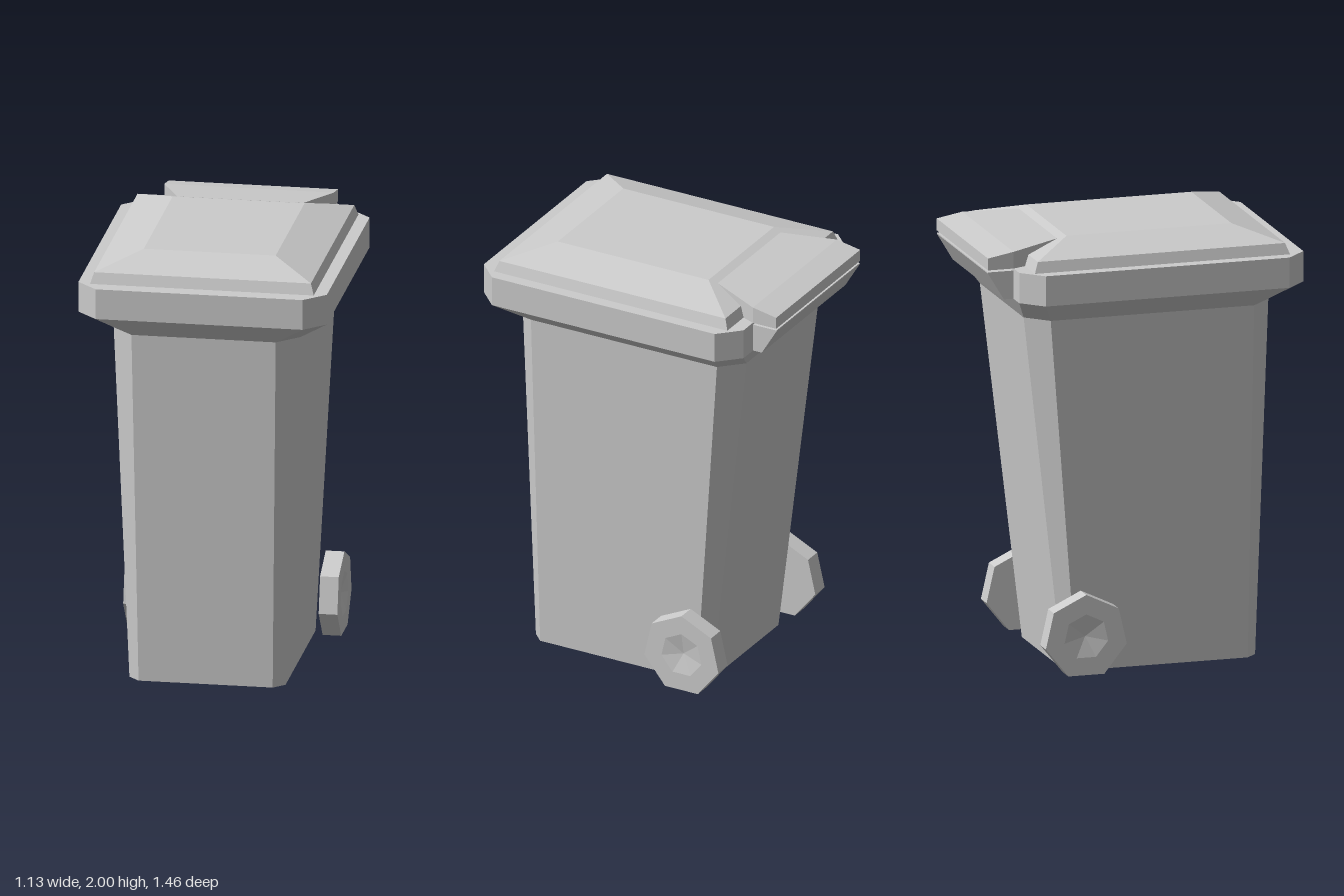
import * as THREE from 'three';

const material = new THREE.MeshStandardMaterial({ color: 0xcccccc, flatShading: true });

// Joins equal-length rings of [x, y, z] points into a capped solid (rings wind counter-clockwise about the loft direction)
function loft(name, rings) {
  const pos = [];
  const n = rings[0].length;
  const tri = (...pts) => pts.forEach((p) => pos.push(...p));
  for (let i = 0; i < rings.length - 1; i++) {
    const lo = rings[i], hi = rings[i + 1];
    for (let j = 0; j < n; j++) {
      const k = (j + 1) % n;
      tri(lo[j], lo[k], hi[k]);
      tri(lo[j], hi[k], hi[j]);
    }
  }
  const first = rings[0], last = rings[rings.length - 1];
  for (let j = 1; j < n - 1; j++) {
    tri(first[0], first[j + 1], first[j]);
    tri(last[0], last[j], last[j + 1]);
  }
  const geo = new THREE.BufferGeometry();
  geo.setAttribute('position', new THREE.Float32BufferAttribute(pos, 3));
  geo.computeVertexNormals();
  const mesh = new THREE.Mesh(geo, material);
  mesh.name = name;
  return mesh;
}

// Horizontal rectangle with chamfered corners: half width, front z, back z, chamfer
function chamferRing(y, w, front, back, c) {
  return [
    [-w + c, y, front], [w - c, y, front], [w, y, front - c], [w, y, back + c],
    [w - c, y, back], [-w + c, y, back], [-w, y, back + c], [-w, y, front - c],
  ];
}

// Horizontal plain rectangle
const rectRing = (y, w, front, back) => [[-w, y, front], [w, y, front], [w, y, back], [-w, y, back]];

// Upright rectangle facing z
const uprightRing = (z, w, bottom, top) => [[-w, bottom, z], [w, bottom, z], [w, top, z], [-w, top, z]];

export function createModel() {
  const model = new THREE.Group();
  model.name = 'wheeledBin';

  // Tapered body
  model.add(loft('body', [
    chamferRing(0, 0.355, 0.555, -0.35, 0.05),
    chamferRing(1.645, 0.425, 0.61, -0.54, 0.097),
  ]));

  // Flared rim
  model.add(loft('rim', [
    chamferRing(1.645, 0.425, 0.61, -0.54, 0.097),
    chamferRing(1.75, 0.565, 0.73, -0.605, 0.095),
    chamferRing(1.89, 0.565, 0.73, -0.605, 0.095),
  ]));

  // Lid with sloping borders
  model.add(loft('lid', [
    rectRing(1.885, 0.51, 0.657, -0.545),
    rectRing(1.94, 0.493, 0.637, -0.525),
    rectRing(2.0, 0.3, 0.445, -0.33),
  ]));

  // Rear handle: tapering plate above, wedge below
  model.add(loft('handlePlate', [
    uprightRing(-0.725, 0.385, 1.89, 1.945),
    uprightRing(-0.605, 0.385, 1.89, 1.967),
    uprightRing(-0.37, 0.287, 1.89, 1.988),
  ]));
  model.add(loft('handleWedge', [
    uprightRing(-0.725, 0.383, 1.875, 1.88),
    uprightRing(-0.65, 0.383, 1.75, 1.88),
    uprightRing(-0.59, 0.383, 1.75, 1.88),
  ]));

  // Seven-sided wheels with a dished hub
  const profile = [[0, 0], [0.195, 0], [0.195, 0.085], [0.105, 0.085], [0, 0.065]]
    .map(([r, h]) => new THREE.Vector2(r, h));
  const wheelGeo = new THREE.LatheGeometry(profile, 7, -Math.PI / 2);
  wheelGeo.rotateZ(-Math.PI / 2);
  for (const side of [1, -1]) {
    const wheel = new THREE.Mesh(wheelGeo, material);
    wheel.name = side > 0 ? 'leftWheel' : 'rightWheel';
    wheel.position.set(side * 0.402, 0.186, -0.295);
    if (side < 0) wheel.rotation.y = Math.PI;
    model.add(wheel);
  }

  return model;
}
